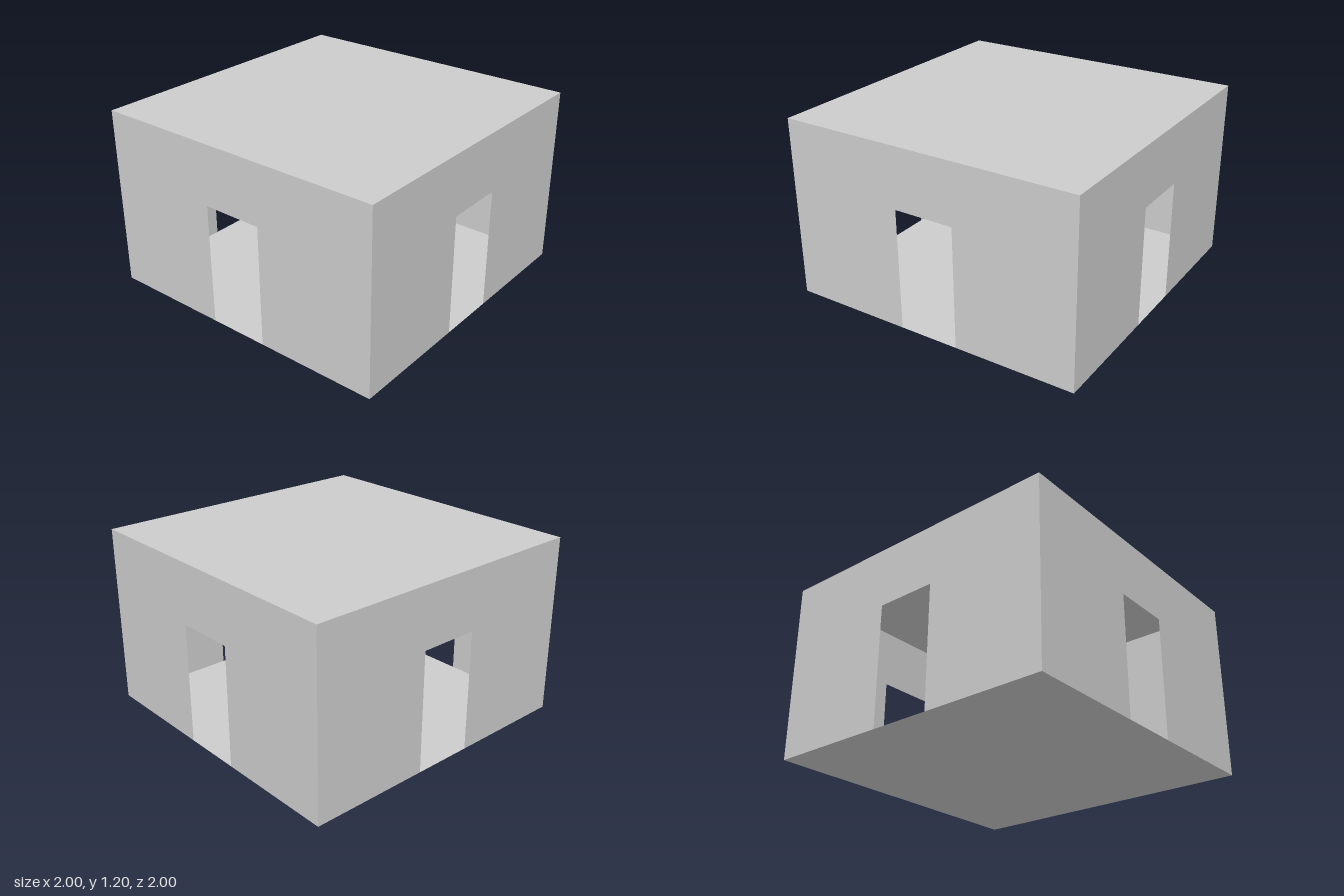
import * as THREE from 'three';

const SIZE = 2, HEIGHT = 1.2, DOOR_WIDTH = 0.4, DOOR_HEIGHT = 0.8;

export function createModel() {
  const group = new THREE.Group();
  group.name = 'openHouse';
  const material = new THREE.MeshStandardMaterial({
    color: 0xcccccc, flatShading: true, side: THREE.DoubleSide,
  });

  // Wall outline with a doorway cut up from the ground
  const h = SIZE / 2, d = DOOR_WIDTH / 2;
  const outline = [
    [-h, 0], [-d, 0], [-d, DOOR_HEIGHT], [d, DOOR_HEIGHT],
    [d, 0], [h, 0], [h, HEIGHT], [-h, HEIGHT],
  ].map(([x, y]) => new THREE.Vector2(x, y));
  const wallGeometry = new THREE.ShapeGeometry(new THREE.Shape(outline));
  wallGeometry.translate(0, 0, h);

  // Four identical paper-thin walls, turned around the centre
  ['frontWall', 'leftWall', 'backWall', 'rightWall'].forEach((name, i) => {
    const wall = new THREE.Mesh(wallGeometry, material);
    wall.name = name;
    wall.rotation.y = i * Math.PI / 2;
    group.add(wall);
  });

  // Flat floor (facing down) and roof (facing up)
  for (const [name, y, turn] of [['floor', 0, 1], ['roof', HEIGHT, -1]]) {
    const slab = new THREE.Mesh(new THREE.PlaneGeometry(SIZE, SIZE), material);
    slab.name = name;
    slab.rotation.x = turn * Math.PI / 2;
    slab.position.y = y;
    group.add(slab);
  }
  return group;
}
